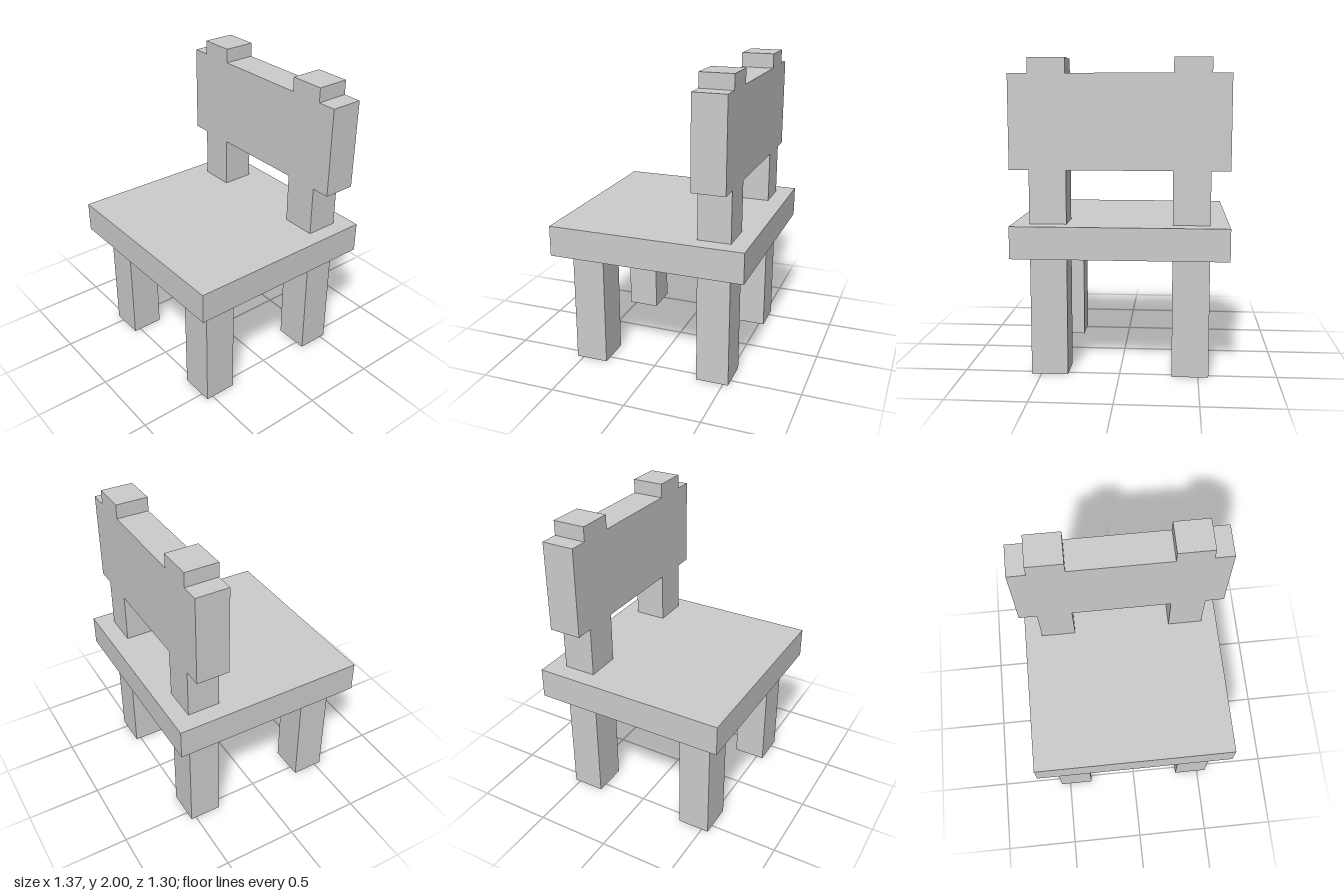
import * as THREE from 'three';

const material = new THREE.MeshStandardMaterial({ color: 0xcccccc, flatShading: true });

// Box given by its [min, max] extent on each axis
function block(name, [x0, x1], [y0, y1], [z0, z1]) {
  const mesh = new THREE.Mesh(new THREE.BoxGeometry(x1 - x0, y1 - y0, z1 - z0), material);
  mesh.position.set((x0 + x1) / 2, (y0 + y1) / 2, (z0 + z1) / 2);
  mesh.name = name;
  return mesh;
}

export function createModel() {
  const chair = new THREE.Group();
  chair.name = 'chair';

  const seatY = [0.772, 0.975];
  const backY = [1.312, 1.905];
  const frontZ = [0.328, 0.545];
  const rearZ = [-0.535, -0.318];

  // Seat slab and backrest panel
  chair.add(block('seat', [-0.684, 0.669], seatY, [-0.65, 0.65]));
  chair.add(block('backrest', [-0.686, 0.686], backY, rearZ));

  // Legs, back posts and post tops on each side
  const sides = { right: [-0.566, -0.333], left: [0.329, 0.562] };
  for (const [side, x] of Object.entries(sides)) {
    chair.add(
      block(`${side}FrontLeg`, x, [0, seatY[0]], frontZ),
      block(`${side}RearLeg`, x, [0, seatY[0]], rearZ),
      block(`${side}BackPost`, x, [seatY[1], backY[0]], rearZ),
      block(`${side}PostTop`, x, [backY[1], 2], rearZ)
    );
  }
  return chair;
}
